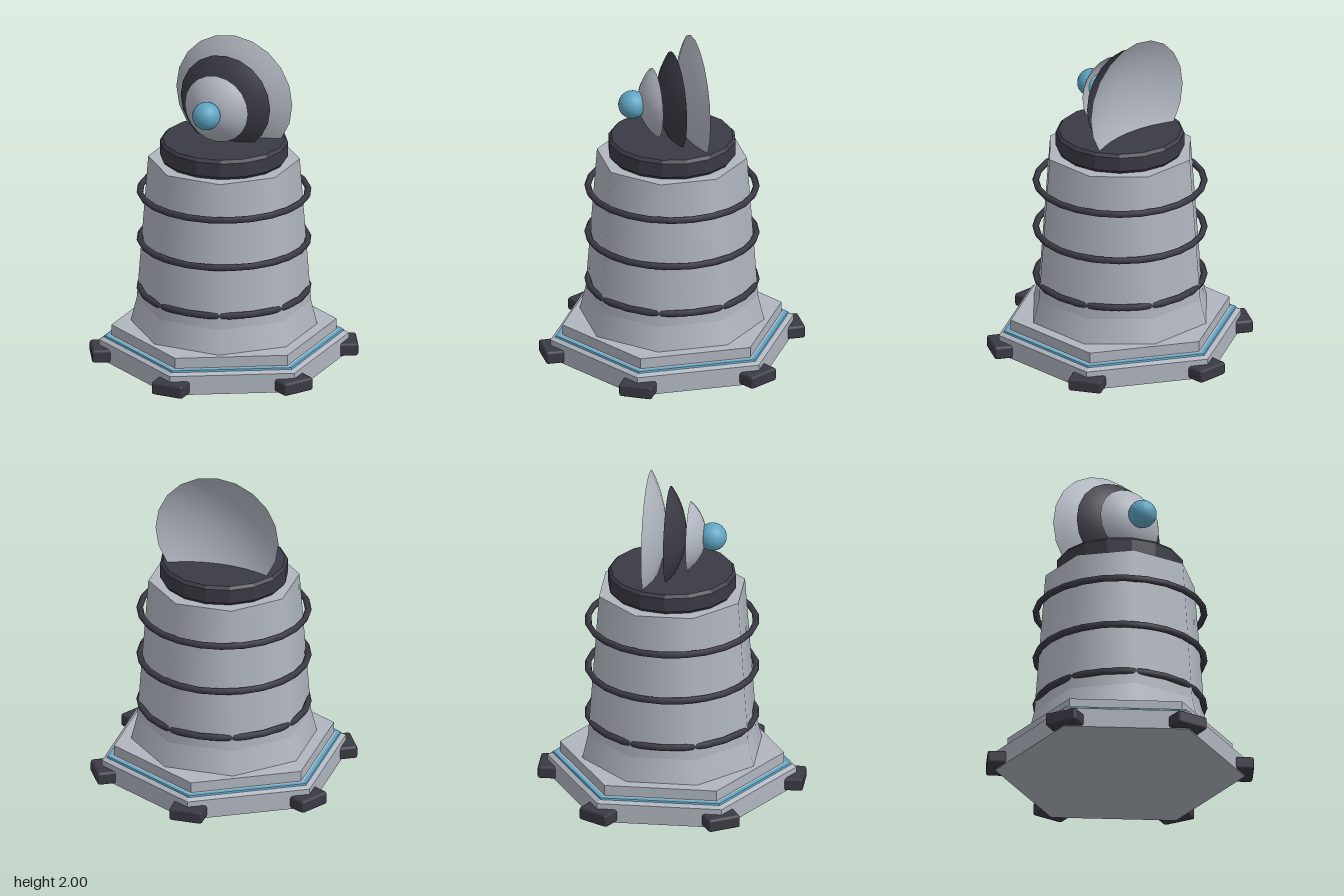
import * as THREE from 'three';
import { RoundedBoxGeometry } from 'three/addons/geometries/RoundedBoxGeometry.js';

const material = (name, color, side = THREE.FrontSide) =>
  new THREE.MeshStandardMaterial({ name, color, side });

// Faceted solid of revolution from [radius, y] points, listed bottom to top
function faceted(points, sides) {
  const lathe = new THREE.LatheGeometry(points.map(([r, y]) => new THREE.Vector2(r, y)), sides);
  const geometry = lathe.toNonIndexed();
  geometry.computeVertexNormals();
  return geometry;
}

export function createModel() {
  const model = new THREE.Group();
  model.name = 'beaconTower';
  const grey = material('paleGrey', 0xb0b5bf, THREE.DoubleSide);
  const dark = material('darkGrey', 0x3b3a45, THREE.DoubleSide);
  const blue = material('blueGlow', 0x5fa5c4);

  const add = (name, geometry, mat, x = 0, y = 0, z = 0, parent = model) => {
    const mesh = new THREE.Mesh(geometry, mat);
    mesh.name = name;
    mesh.position.set(x, y, z);
    parent.add(mesh);
    return mesh;
  };

  // Hexagonal base with a bevelled rim, a blue trim and a raised step
  add('basePlate', faceted([[0, 0], [0.75, 0], [0.75, 0.12], [0.72, 0.135], [0, 0.135]], 6), grey);
  add('baseTrim', faceted([[0.72, 0.135], [0.716, 0.145], [0.688, 0.145]], 6), blue);
  add('baseStep', faceted([[0.688, 0.13], [0.688, 0.145], [0.676, 0.147], [0.676, 0.212], [0, 0.212]], 6), grey);

  // Six chamfered feet at the corners
  for (let i = 0; i < 6; i++) {
    const corner = new THREE.Group();
    corner.name = 'footCorner';
    corner.rotation.y = i * Math.PI / 3;
    model.add(corner);
    add('foot', new RoundedBoxGeometry(0.206, 0.081, 0.22, 1, 0.016), dark, 0, 0.0455, 0.69, corner);
  }

  // Eight-sided tapering tower with a flared skirt
  const octagon = 1 / Math.cos(Math.PI / 8);
  const frustum = (top, bottom, height, open) => new THREE.CylinderGeometry(
    top * octagon, bottom * octagon, height, 8, 1, open, Math.PI / 8);
  add('towerSkirt', frustum(0.483, 0.517, 0.15, true), grey, 0, 0.285);
  add('tower', frustum(0.42, 0.483, 0.907, false), grey, 0, 0.8135);

  // Hoops around the tower
  for (const y of [0.443, 0.752, 1.057]) {
    const hoop = new THREE.TorusGeometry(0.505, 0.02, 6, 24);
    hoop.rotateX(Math.PI / 2);
    add('hoop', hoop, dark, 0, y);
  }

  // Chamfered turntable
  add('turntable', faceted([[0, 1.265], [0.37, 1.265], [0.385, 1.285], [0.385, 1.372], [0.368, 1.39], [0, 1.39]], 16), dark);

  // Stacked open dishes, each a shallow spherical cap bulging forward
  function dish(rim, depth) {
    const radius = (rim * rim + depth * depth) / (2 * depth);
    const angle = Math.asin(rim / radius);
    const points = [];
    for (let i = 0; i <= 8; i++) {
      const a = angle * (1 - i / 8);
      points.push(new THREE.Vector2(radius * Math.sin(a), radius * Math.cos(a) - radius + depth));
    }
    return new THREE.LatheGeometry(points, 20).rotateX(Math.PI / 2);
  }
  add('rearDish', dish(0.385, 0.105), grey, 0, 1.615, -0.143);
  add('middleDish', dish(0.297, 0.105), dark, 0, 1.615, -0.02);
  add('frontDish', dish(0.21, 0.1), grey, 0, 1.615, 0.105);

  // Glowing emitter ball
  add('emitter', new THREE.SphereGeometry(0.085, 20, 14), blue, 0, 1.618, 0.245);

  return model;
}
